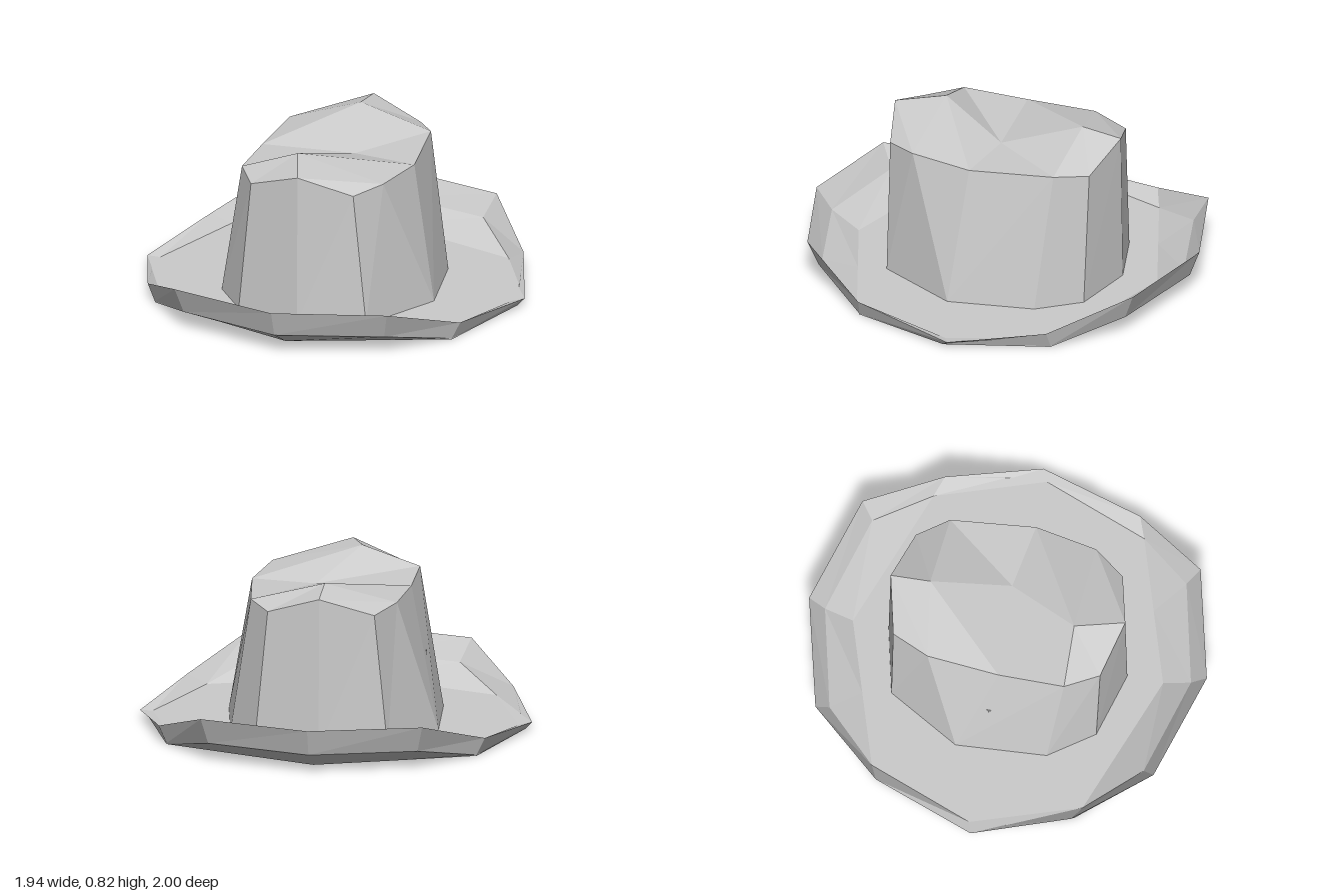
import * as THREE from 'three';

const material = new THREE.MeshStandardMaterial({ color: 0xcccccc, flatShading: true, side: THREE.DoubleSide });

// Twelve-point ring from a quarter (front, front corner, side corner, side), mirrored in z and x
function ring(quarter) {
  const half = [...quarter, ...quarter.slice(0, 3).reverse().map(([x, y, z]) => [x, y, -z])];
  return [...half, ...half.slice(1, 6).reverse().map(([x, y, z]) => [-x, y, z])];
}

// Flat-shaded mesh from polygons given as lists of corner points
function facetMesh(name, polygons) {
  const positions = [];
  for (const p of polygons)
    for (let i = 1; i < p.length - 1; i++) positions.push(...p[0], ...p[i], ...p[i + 1]);
  const geometry = new THREE.BufferGeometry();
  geometry.setAttribute('position', new THREE.Float32BufferAttribute(positions, 3));
  geometry.computeVertexNormals();
  const mesh = new THREE.Mesh(geometry, material);
  mesh.name = name;
  return mesh;
}

// Quads joining consecutive rings
function loft(rings) {
  const quads = [];
  for (let r = 0; r < rings.length - 1; r++) {
    const a = rings[r], b = rings[r + 1];
    a.forEach((p, i) => {
      const j = (i + 1) % a.length;
      quads.push([p, a[j], b[j], b[i]]);
    });
  }
  return quads;
}

export function createModel() {
  const hat = new THREE.Group();
  hat.name = 'hat';

  // Head opening and its ceiling inside the crown
  const openingAt = (y, s) => ring([[0, y, 0.475 * s], [0.31 * s, y, 0.365 * s], [0.385 * s, y, 0.18 * s], [0.46 * s, y, 0]]);
  const opening = openingAt(0, 1);
  const ceiling = openingAt(0.39, 0.98);

  // Brim sections, from underside over the rim to the upper side
  const flatUnder = ring([[0, 0, 0.78], [0.39, 0, 0.64], [0.77, 0, 0.5], [0.94, 0.01, 0]]);
  const edgeUnder = ring([[0, 0.095, 0.95], [0.52, 0.095, 0.8], [0.77, 0.005, 0.5], [0.94, 0.01, 0]]);
  const rim = ring([[0, 0.23, 1], [0.55, 0.23, 0.85], [0.81, 0.09, 0.49], [0.97, 0.04, 0]]);
  rim[3][2] = -0.03;
  rim[9][2] = 0.02;
  const edgeOver = ring([[0, 0.12, 0.92], [0.5, 0.12, 0.79], [0.72, 0.03, 0.53], [0.91, 0.03, 0]]);
  const flatOver = ring([[0, 0.03, 0.78], [0.36, 0.03, 0.655], [0.72, 0.03, 0.53], [0.91, 0.03, 0]]);

  // Crown base: one side vertex is shared by two top vertices on each side
  const base = [
    [0, 0.6], [0.33, 0.515], [0.55, 0.12], [0.55, 0.12], [0.48, -0.31], [0.33, -0.515],
    [0, -0.6], [-0.33, -0.515], [-0.53, -0.15], [-0.53, -0.15], [-0.49, 0.3], [-0.33, 0.515],
  ].map(([x, z]) => [x, 0.03, z]);

  const top = [
    [0, 0.79, 0.59], [0.265, 0.7, 0.52], [0.37, 0.72, 0.365], [0.425, 0.71, 0.05], [0.37, 0.72, -0.37], [0.265, 0.7, -0.52],
    [0, 0.79, -0.59], [-0.265, 0.7, -0.52], [-0.35, 0.72, -0.33], [-0.37, 0.71, 0.03], [-0.365, 0.72, 0.36], [-0.265, 0.7, 0.52],
  ];

  // Dented ridge running front to back
  const frontPeak = [-0.08, 0.82, 0.35], dent = [0.1, 0.71, 0], backPeak = [0, 0.82, -0.39];
  const spine = [top[0], frontPeak, dent, backPeak, top[6]];
  const cap = [];
  for (let i = 0; i < 4; i++) {
    const left = (k) => top[(12 - k) % 12];
    if (i === 0) cap.push([spine[0], top[1], top[2], spine[1]], [spine[1], left(2), left(1), spine[0]]);
    else if (i === 3) cap.push([spine[3], top[4], top[5], spine[4]], [spine[4], left(5), left(4), spine[3]]);
    else cap.push([spine[i], top[i + 1], top[i + 2], spine[i + 1]], [spine[i + 1], left(i + 2), left(i + 1), spine[i]]);
  }

  hat.add(
    facetMesh('brim', loft([opening, flatUnder, edgeUnder, rim, edgeOver, flatOver, base])),
    facetMesh('crownWall', loft([base, top])),
    facetMesh('crownTop', cap),
    facetMesh('headOpening', [...loft([ceiling, opening]), [...ceiling].reverse()]),
  );
  return hat;
}
